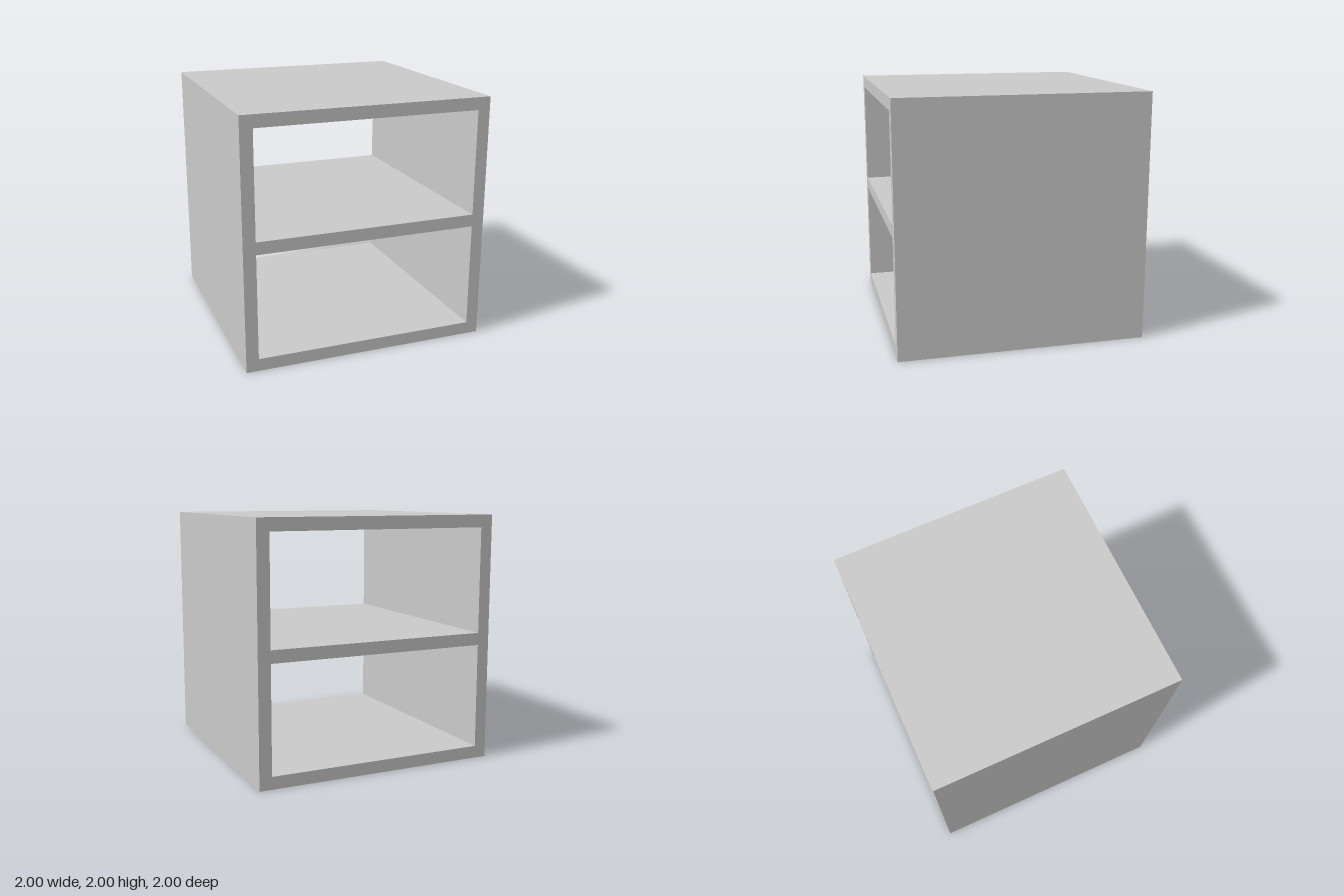
import * as THREE from 'three';

const SIZE = 2;    // outer edge of the cube
const BOARD = 0.1; // thickness of walls and shelf

// Trace a rectangle onto a Shape or Path
function rectangle(path, x0, y0, x1, y1) {
  path.moveTo(x0, y0);
  path.lineTo(x1, y0);
  path.lineTo(x1, y1);
  path.lineTo(x0, y1);
  path.closePath();
  return path;
}

export function createModel() {
  const group = new THREE.Group();
  group.name = 'openShelfCube';

  // Square face with two compartments separated by the middle shelf
  const half = SIZE / 2;
  const inner = half - BOARD;
  const opening = (SIZE - 3 * BOARD) / 2;
  const face = rectangle(new THREE.Shape(), -half, 0, half, SIZE);
  for (let i = 0; i < 2; i++) {
    const bottom = BOARD + i * (opening + BOARD);
    face.holes.push(rectangle(new THREE.Path(), -inner, bottom, inner, bottom + opening));
  }

  // Cabinet body, open right through from front to back
  const geometry = new THREE.ExtrudeGeometry(face, { depth: SIZE, bevelEnabled: false });
  geometry.translate(0, 0, -half);
  const cabinet = new THREE.Mesh(geometry, new THREE.MeshStandardMaterial({ color: 0xcccccc }));
  cabinet.name = 'cabinetWithShelf';
  group.add(cabinet);

  return group;
}
